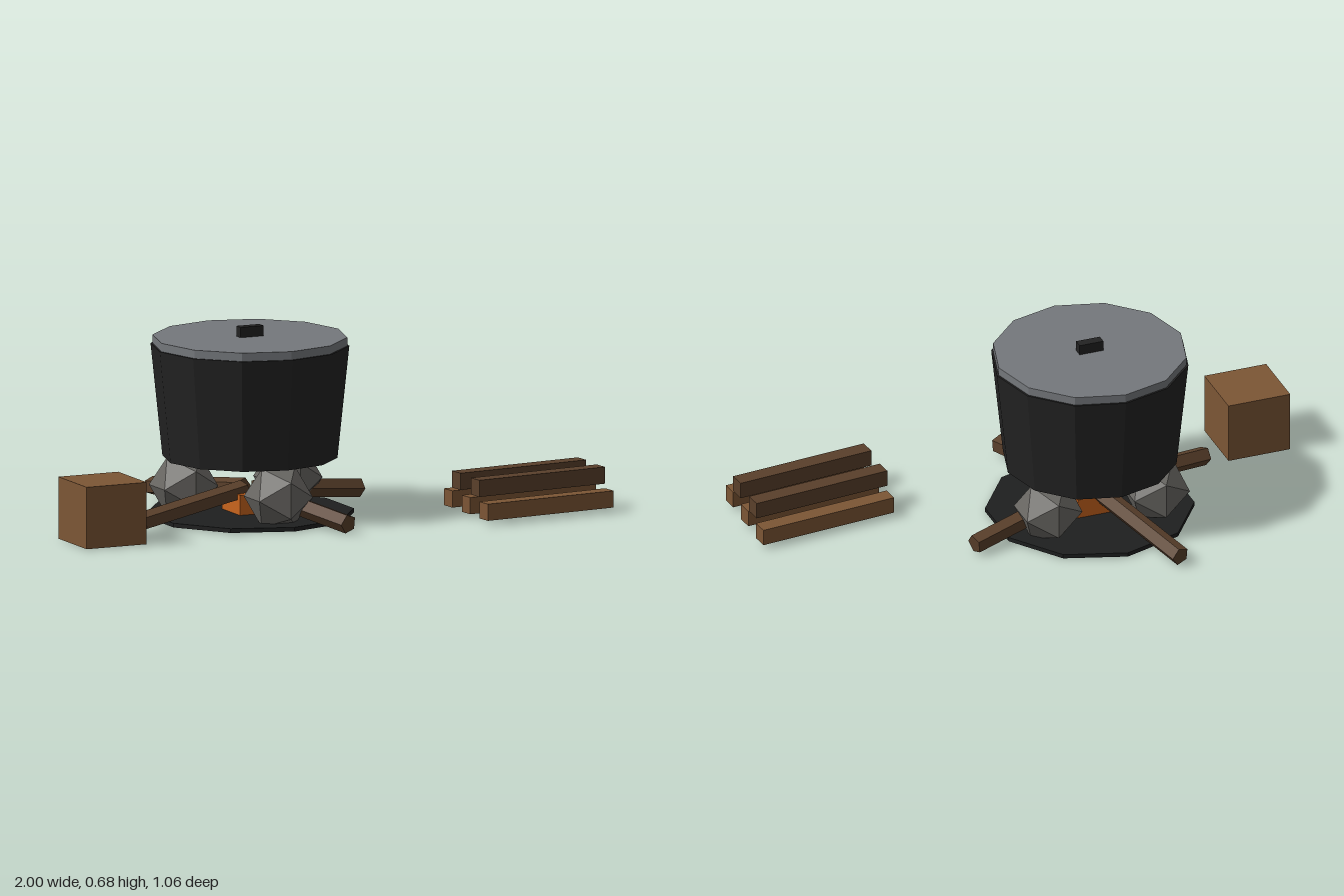
import * as THREE from 'three';

const mat = (name, color) => {
  const m = new THREE.MeshStandardMaterial({ color, flatShading: true });
  m.name = name;
  return m;
};

export function createModel() {
  const root = new THREE.Group();
  root.name = 'campCookingSet';

  const iron = mat('black iron', 0x222222);
  const ash = mat('ash black', 0x1e1f1f);
  const steel = mat('grey lid', 0x75787c);
  const stone = mat('stone grey', 0x6a6864);
  const lightWood = mat('light wood', 0x7c5635);
  const darkWood = mat('dark wood', 0x5a402b);
  const ember = mat('ember orange', 0xc8641e);

  const add = (parent, name, geo, material, x, y, z) => {
    const mesh = new THREE.Mesh(geo, material);
    mesh.name = name;
    mesh.position.set(x, y, z);
    parent.add(mesh);
    return mesh;
  };
  const box = (w, h, d) => new THREE.BoxGeometry(w, h, d);

  // Fireplace: everything here is centred on the pot axis
  const fire = new THREE.Group();
  fire.name = 'fireplace';
  fire.position.set(-0.185, 0, -0.024);
  root.add(fire);

  add(fire, 'ashBed', new THREE.CylinderGeometry(0.37, 0.37, 0.015, 10), ash, 0, 0.0075, 0);
  add(fire, 'embers', box(0.147, 0.075, 0.147), ember, 0, 0.05, 0);

  // Three stones carrying the pot
  const stoneGeo = new THREE.IcosahedronGeometry(0.123, 0);
  for (let i = 0; i < 3; i++) {
    const a = (i * Math.PI * 2) / 3;
    add(fire, 'hearthStone', stoneGeo, stone, Math.sin(a) * 0.235, 0.103, Math.cos(a) * 0.235);
  }

  // Four logs sloping up towards the middle
  const logGeo = new THREE.CylinderGeometry(0.035, 0.035, 0.49, 5);
  for (let i = 0; i < 4; i++) {
    const arm = new THREE.Group();
    arm.name = 'fireLogArm';
    arm.rotation.y = 0.295 + (i * Math.PI) / 2;
    const log = add(arm, 'fireLog', logGeo, darkWood, 0.275, 0.065, 0);
    log.rotation.z = -Math.PI / 2 - 0.12;
    fire.add(arm);
  }

  // Pot, lid and lid handle
  add(fire, 'pot', new THREE.CylinderGeometry(0.352, 0.31, 0.402, 12), iron, 0, 0.41, 0);
  add(fire, 'lid', new THREE.CylinderGeometry(0.345, 0.345, 0.03, 12), steel, 0, 0.626, 0);
  add(fire, 'lidHandle', box(0.09, 0.038, 0.035), iron, 0, 0.659, 0);

  // Chopping block
  add(root, 'woodBlock', box(0.234, 0.222, 0.234), lightWood, -0.883, 0.111, 0.235);

  // Stacked firewood: three light pieces below, two dark ones above
  const pile = new THREE.Group();
  pile.name = 'firewoodPile';
  root.add(pile);
  const pieceGeo = box(0.518, 0.06, 0.058);
  const piece = (material, y, z) => {
    add(pile, 'firewood', pieceGeo, material, 0.739, y, z).rotation.y = 0.1;
  };
  [0.178, 0.325, 0.471].forEach((z) => piece(lightWood, 0.046, z));
  [0.244, 0.4].forEach((z) => piece(darkWood, 0.12, z));

  return root;
}
